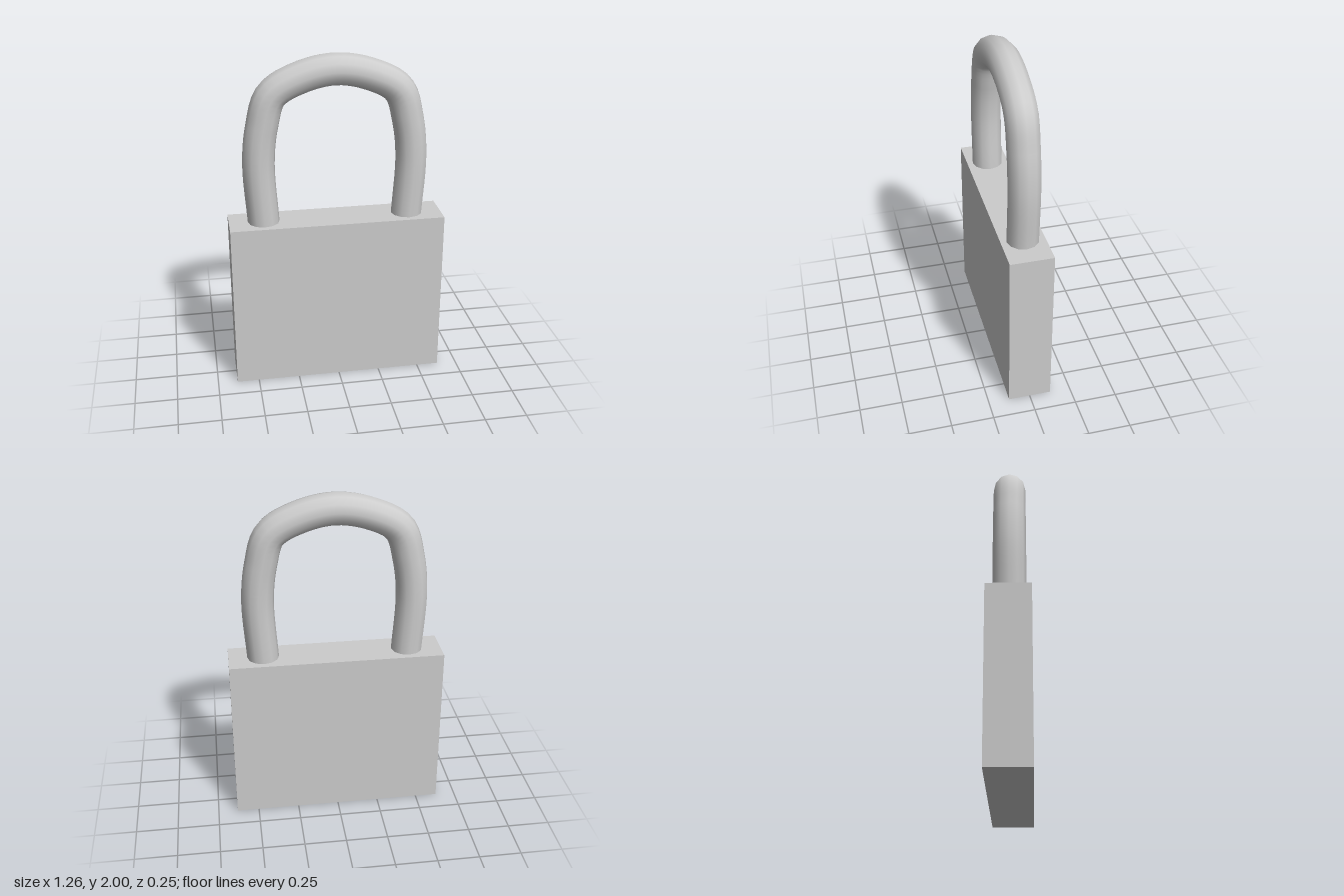
import * as THREE from 'three';

export function createModel() {
  const group = new THREE.Group();
  const steel = new THREE.MeshStandardMaterial({ color: 0xcccccc });
  steel.name = 'plain grey';

  // solid rectangular lock body
  const height = 1.015;
  const body = new THREE.Mesh(new THREE.BoxGeometry(1.264, height, 0.254), steel);
  body.name = 'body';
  body.position.y = height / 2;
  group.add(body);

  // shackle: smooth bar, one half of its path mirrored over x = 0
  const half = [[-0.427, 1.0], [-0.446, 1.38], [-0.42, 1.6], [-0.362, 1.775], [-0.2, 1.868]];
  const path = [...half, [0, 1.907], ...half.map(([x, y]) => [-x, y]).reverse()];
  const curve = new THREE.CatmullRomCurve3(path.map(([x, y]) => new THREE.Vector3(x, y, 0)));
  const shackle = new THREE.Mesh(new THREE.TubeGeometry(curve, 64, 0.093, 12, false), steel);
  shackle.name = 'shackle';
  group.add(shackle);

  return group;
}
